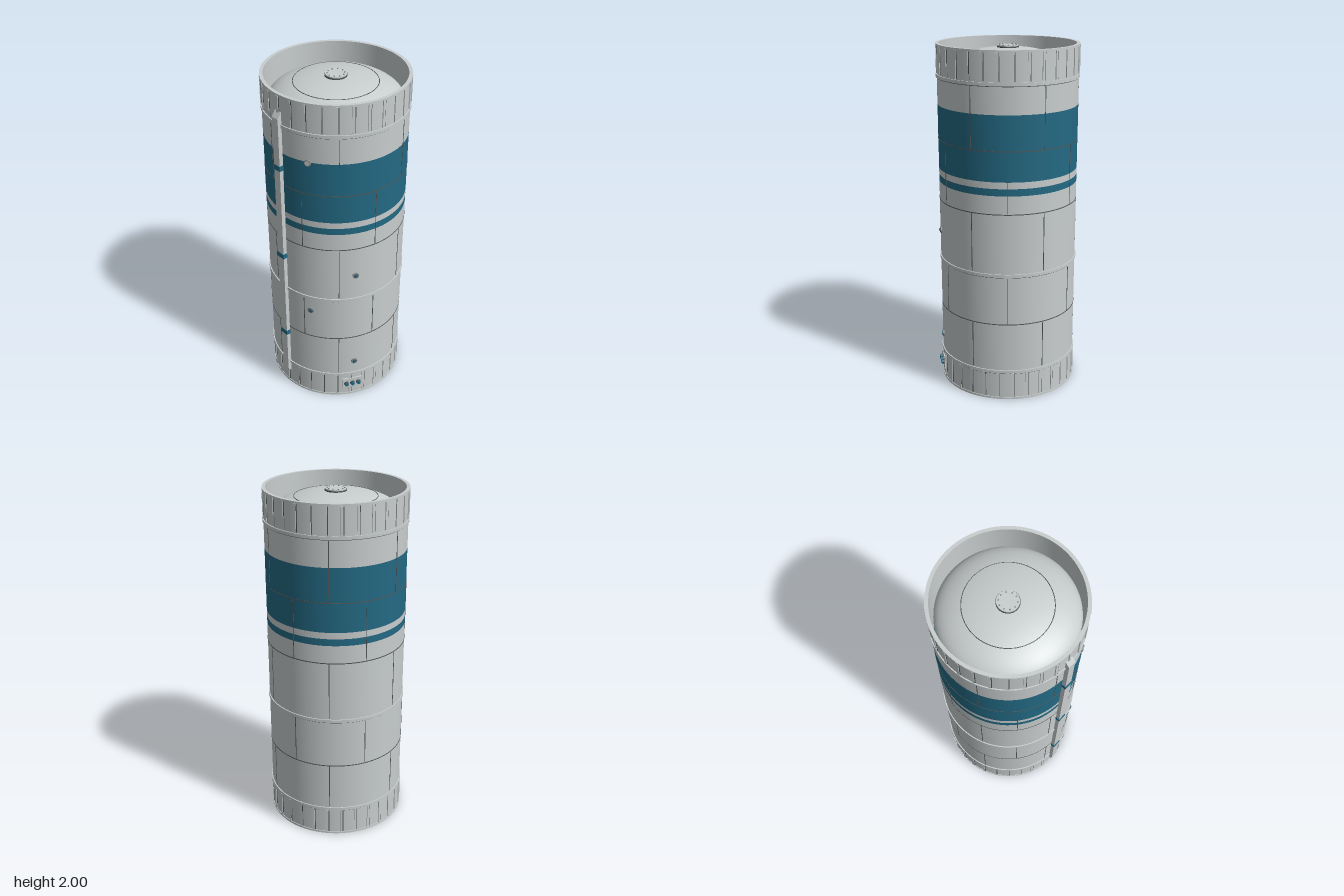
import * as THREE from 'three';
import { toCreasedNormals } from 'three/addons/utils/BufferGeometryUtils.js';

const mat = (name, color) => {
  const m = new THREE.MeshStandardMaterial({ color });
  m.name = name;
  return m;
};

export function createModel() {
  const model = new THREE.Group();
  model.name = 'cylindricalStage';
  const grey = mat('shellGrey', 0xc8cdcd);
  const blue = mat('bandBlue', 0x236983);
  const dark = mat('seamDark', 0x54595b);
  const metal = mat('fittingGrey', 0x8c9293);

  const R = 0.397, INNER = 0.382, SEG = 96;
  const body = new THREE.Group();
  body.name = 'body';
  body.position.z = -0.01;
  model.add(body);

  const add = (name, geo, m, parent = body) => {
    const mesh = new THREE.Mesh(geo, m);
    mesh.name = name;
    parent.add(mesh);
    return mesh;
  };
  const lathe = (pts) => toCreasedNormals(
    new THREE.LatheGeometry(pts.map(([x, y]) => new THREE.Vector2(x, y)), SEG), 0.5);
  // Hollow ring with a rectangular section
  const ring = (name, ri, ro, y0, y1, m) =>
    add(name, lathe([[ri, y0], [ro, y0], [ro, y1], [ri, y1], [ri, y0]]), m);
  // Mount on the shell at an angle from the front; local +z points outward
  const mount = (name, deg, y, r = R) => {
    const g = new THREE.Group(), a = THREE.MathUtils.degToRad(deg);
    g.name = name;
    g.position.set(Math.sin(a) * r, y, Math.cos(a) * r);
    g.rotation.y = a;
    body.add(g);
    return g;
  };
  const disc = (r, depth, z = 0) =>
    new THREE.CylinderGeometry(r, r, depth, 20).rotateX(Math.PI / 2).translate(0, 0, z + depth / 2);

  // Shell in coloured sections
  [[0, 1.225, grey], [1.225, 1.265, blue], [1.265, 1.302, grey], [1.302, 1.665, blue], [1.665, 2, grey]]
    .forEach(([a, b, m]) => ring(m === blue ? 'blueBand' : 'shell', INNER, R, a, b, m));

  // Joint flanges and end lips
  for (const y of [0.175, 0.765, 1.825]) {
    ring('jointFlange', R - 0.005, 0.403, y - 0.009, y + 0.009, grey);
    ring('flangeSeam', R - 0.005, R + 0.0015, y - 0.013, y - 0.009, dark);
  }
  ring('endLip', R - 0.005, 0.401, 0, 0.012, grey);
  ring('endLip', R - 0.005, 0.401, 1.988, 2, grey);

  // Panel seams, staggered from row to row
  for (const y of [0.47, 1.12, 1.47]) ring('panelSeam', R - 0.003, R + 0.0015, y - 0.0025, y + 0.0025, dark);
  [[0.19, 0.465], [0.475, 0.75], [0.78, 1.115], [1.125, 1.465], [1.475, 1.81]].forEach(([y0, y1], row) => {
    for (let k = 0; k < 6; k++) {
      const g = mount('verticalSeam', (row % 2 ? 20 : -10) + k * 60, (y0 + y1) / 2);
      add('seamStrip', new THREE.BoxGeometry(0.004, y1 - y0, 0.003), dark, g);
    }
  });

  // Stiffening ribs round both ends
  for (const y of [0.09, 1.915]) {
    for (let k = 0; k < 30; k++) {
      const g = mount('stiffener', k * 12, y);
      add('rib', new THREE.BoxGeometry(0.014, 0.15, 0.011), grey, g);
      const edge = add('ribEdge', new THREE.BoxGeometry(0.005, 0.15, 0.004), dark, g);
      edge.position.x = 0.009;
    }
  }

  // Inner tank with shallow domed ends
  const tank = [], TR = 0.372, H = 0.145, N = 20;
  for (let i = 0; i <= N; i++) {
    const t = (i / N) * Math.PI / 2;
    tank.push(new THREE.Vector2(TR * Math.sin(t), 0.025 + H * (1 - Math.cos(t))));
  }
  for (let i = N; i >= 0; i--) tank.push(new THREE.Vector2(tank[i].x, 2 - tank[i].y));
  add('tank', new THREE.LatheGeometry(tank, SEG), grey);

  // Dome weld lines, hatches and bolts
  const weldY = 0.025 + H * (1 - Math.sqrt(1 - (0.229 / TR) ** 2));
  for (const top of [false, true]) {
    const at = (y) => (top ? 2 - y : y);
    const weld = add('domeWeld', new THREE.TorusGeometry(0.229, 0.0022, 6, SEG).rotateX(Math.PI / 2), dark);
    weld.position.y = at(weldY);
    const base = add('hatchSeam', new THREE.CylinderGeometry(0.061, 0.061, 0.008, 40), dark);
    base.position.y = at(0.024);
    const hatch = add('hatch', new THREE.CylinderGeometry(0.058, 0.058, 0.014, 40), grey);
    hatch.position.y = at(0.021);
    for (let k = 0; k < 10; k++) {
      const a = k * Math.PI / 5;
      const bolt = add('hatchBolt', new THREE.CylinderGeometry(0.004, 0.004, 0.006, 8), metal);
      bolt.position.set(Math.sin(a) * 0.047, at(0.013), Math.cos(a) * 0.047);
    }
  }

  // Cable channel with sloped ends, drawn in side profile
  const side = new THREE.Shape([[0.385, 0.1], [0.397, 0.1], [0.42, 0.13], [0.42, 1.87], [0.397, 1.905], [0.385, 1.905]]
    .map(([z, y]) => new THREE.Vector2(z, y)));
  const channel = new THREE.ExtrudeGeometry(side, { depth: 0.046, bevelEnabled: false });
  channel.translate(0, 0, -0.023).rotateY(-Math.PI / 2);
  add('cableChannel', channel, grey);
  for (const y of [0.427, 1.003, 1.58]) {
    const clamp = add('channelClamp', new THREE.BoxGeometry(0.052, 0.03, 0.035), blue);
    clamp.position.set(0, y, 0.4055);
  }

  // Small service ports
  [[26, 1.66, false], [63.5, 0.935, true], [26, 0.67, true], [63.5, 0.275, true]].forEach(([deg, y, capped]) => {
    const g = mount('servicePort', deg, y, R - 0.004);
    add('portRing', disc(0.019, 0.01), metal, g);
    add('portSeat', disc(0.013, 0.004, 0.008), capped ? dark : grey, g);
    if (capped) add('portCap', disc(0.009, 0.006, 0.01), blue, g);
  });

  // Connector panel
  const panel = mount('connectorPanel', 62, 0.097, R - 0.004);
  add('panelPlate', new THREE.BoxGeometry(0.124, 0.074, 0.02), grey, panel);
  for (const x of [-0.038, 0, 0.038]) {
    const c = new THREE.Group();
    c.name = 'connector';
    c.position.x = x;
    panel.add(c);
    add('connectorCollar', disc(0.0145, 0.006, 0.008), dark, c);
    add('connectorPlug', disc(0.0115, 0.016, 0.01), blue, c);
  }

  return model;
}
